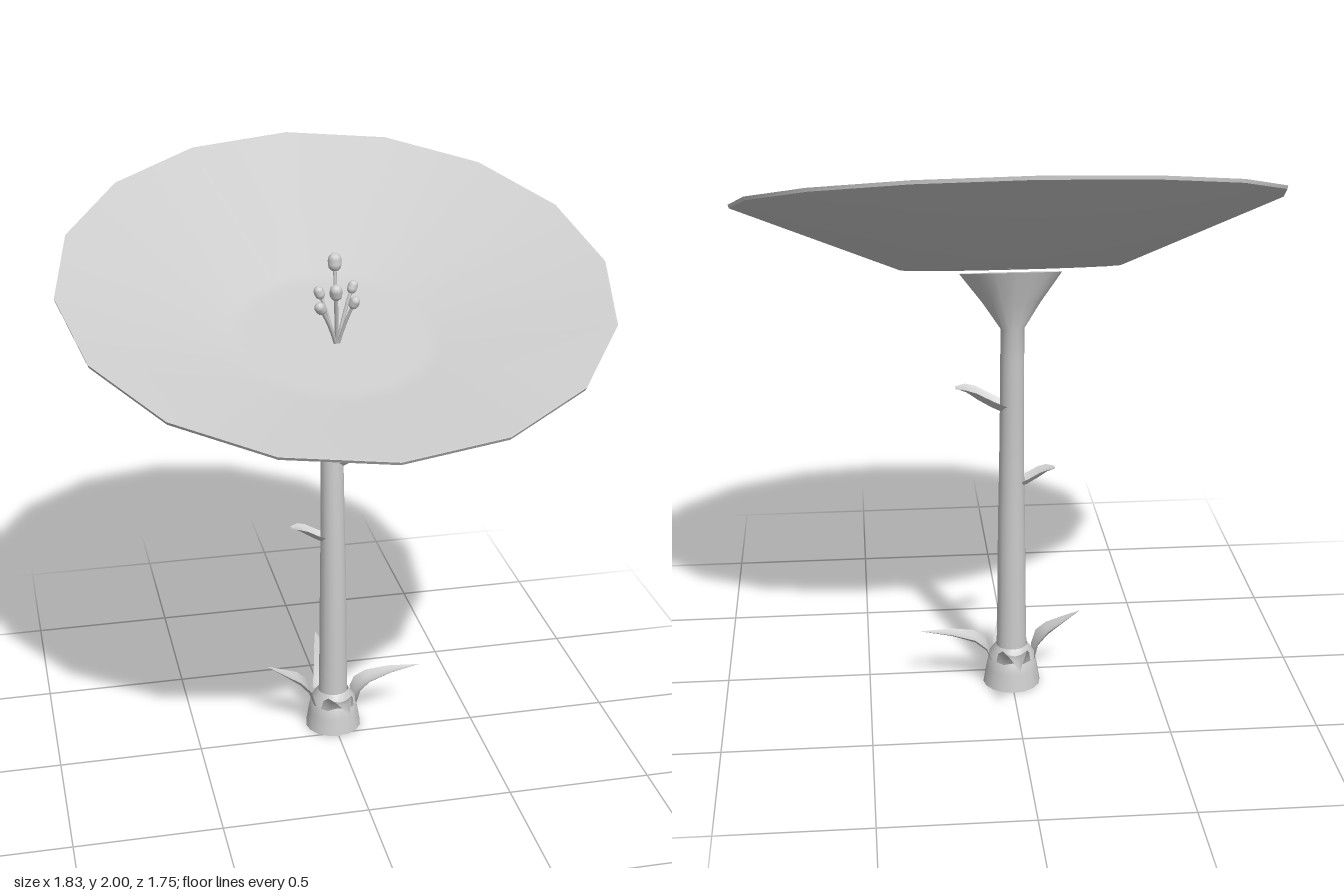
import * as THREE from 'three';
import { toCreasedNormals } from 'three/addons/utils/BufferGeometryUtils.js';

const grey = new THREE.MeshStandardMaterial({ color: 0xcccccc });
const thin = new THREE.MeshStandardMaterial({ color: 0xcccccc, side: THREE.DoubleSide });
const STEM_Z = -0.08;
const V = (x, y, z) => new THREE.Vector3(x, y, z);

function add(parent, name, geometry, material = grey) {
  const mesh = new THREE.Mesh(geometry, material);
  mesh.name = name;
  parent.add(mesh);
  return mesh;
}

// Skins rows of points into one surface
function skin(rows) {
  const n = rows[0].length, index = [];
  for (let i = 0; i < rows.length - 1; i++) {
    for (let j = 0; j < n - 1; j++) {
      const a = i * n + j, b = a + n;
      index.push(a, b, a + 1, a + 1, b, b + 1);
    }
  }
  const g = new THREE.BufferGeometry().setFromPoints(rows.flat());
  g.setIndex(index);
  g.computeVertexNormals();
  return g;
}

// Round body from rings of [y, z, radius, tilt], faces outward where rings climb
function round(rings) {
  const sides = 16;
  const g = skin(rings.map(([y, z, r, tilt]) => {
    const row = [];
    for (let j = 0; j <= sides; j++) {
      const a = j / sides * Math.PI * 2;
      row.push(V(Math.cos(a) * r, 0, Math.sin(a) * r)
        .applyAxisAngle(V(1, 0, 0), tilt).add(V(0, y, z)));
    }
    return row;
  }));
  return toCreasedNormals(g, 0.7);
}

// Troughed leaf growing along +x from stations of [x, y, halfWidth, edgeRise]
function leaf(stations) {
  return skin(stations.map(([x, y, w, rise]) =>
    [1, 0.5, 0, -0.5, -1].map(t => V(x, y + rise * t * t, t * w))));
}

export function createModel() {
  const model = new THREE.Group();
  model.name = 'flower';

  // Stem with its flared, tilted top
  add(model, 'stem', round([
    [0.0, STEM_Z, 0.055, 0], [0.3, -0.079, 0.05, 0], [0.6, -0.077, 0.047, 0],
    [0.8, -0.08, 0.043, 0.03], [1.0, -0.09, 0.041, 0.06], [1.2, -0.102, 0.04, 0.1],
    [1.315, -0.11, 0.04, 0.2], [1.395, -0.082, 0.096, 0.26],
    [1.487, -0.045, 0.171, 0.265], [1.487, -0.045, 0.001, 0.265],
  ]));

  // Open collar at the foot
  add(model, 'collar', round([
    [0, STEM_Z, 0.1, 0], [0.06, STEM_Z, 0.09, 0],
    [0.11, STEM_Z, 0.08, 0], [0.145, STEM_Z, 0.055, 0],
  ]), thin);

  // Four leaves around the foot: [turn, stations]
  const droop = [[0.075, 0.09, 0.06, 0.02], [0.09, 0.125, 0.054, 0.025], [0.13, 0.157, 0.043, 0.022],
    [0.21, 0.184, 0.027, 0.012], [0.32, 0.203, 0.001, 0]];
  const upright = [[0.075, 0.09, 0.06, 0.02], [0.09, 0.135, 0.054, 0.03], [0.125, 0.175, 0.042, 0.025],
    [0.18, 0.217, 0.024, 0.012], [0.24, 0.26, 0.001, 0]];
  const short = droop.map(([x, y, w, r]) => [0.075 + (x - 0.075) * 0.8, y * 0.96, w, r]);
  const baseLeaves = [[0, droop], [Math.PI / 2, droop], [Math.PI, upright], [-Math.PI / 2, short]];
  for (const [turn, stations] of baseLeaves) {
    const l = add(model, 'baseLeaf', leaf(stations), thin);
    l.position.z = STEM_Z;
    l.rotation.y = turn;
  }

  // Two small leaves up the stem: [turn, height, z, scale]
  const small = [[0.02, 0, 0.036, 0.035], [0.07, 0.024, 0.041, 0.036],
    [0.12, 0.055, 0.041, 0.033], [0.155, 0.082, 0.037, 0.016], [0.19, 0.097, 0.016, 0]];
  for (const [turn, y, z, s] of [[0, 1.01, -0.092, 1], [Math.PI, 0.73, STEM_Z, 0.78]]) {
    const l = add(model, 'stemLeaf', leaf(small), thin);
    l.position.set(0, y, z);
    l.rotation.y = turn;
    l.scale.set(s, s, s);
  }

  // Wide tilted bloom with a flat floor and a thin wall
  add(model, 'bloom', round([
    [1.505, -0.05, 0.001, 0.291], [1.505, -0.05, 0.3, 0.291], [1.505, -0.05, 0.365, 0.291],
    [1.714, -0.003, 0.914, 0.304], [1.725, 0, 0.917, 0.304], [1.725, 0, 0.908, 0.304],
    [1.517, -0.046, 0.368, 0.291], [1.517, -0.046, 0.3, 0.291], [1.517, -0.046, 0.001, 0.291],
  ]));

  // Stamens fanning from the middle: head [x, y, z, radius]
  const stamens = new THREE.Group();
  stamens.name = 'stamens';
  model.add(stamens);
  const heads = [[0, 1.77, -0.045, 0.023], [0.06, 1.68, -0.047, 0.017], [0.047, 1.655, 0.04, 0.017],
    [-0.015, 1.695, 0.045, 0.021], [-0.056, 1.675, -0.025, 0.017], [-0.07, 1.65, 0.06, 0.018]];
  for (const [x, y, z, r] of heads) {
    const root = V(x * 0.06, 1.495, -0.01 + z * 0.06), head = V(x, y, z);
    const path = new THREE.QuadraticBezierCurve3(root,
      root.clone().lerp(head, 0.5).add(V(-x * 0.1, 0.01, 0)), head);
    add(stamens, 'filament', new THREE.TubeGeometry(path, 6, 0.006, 6));
    const tip = add(stamens, 'anther', new THREE.CapsuleGeometry(r, r * 0.7, 3, 10));
    tip.position.copy(head);
    tip.quaternion.setFromUnitVectors(V(0, 1, 0), path.getTangent(1));
  }
  return model;
}
